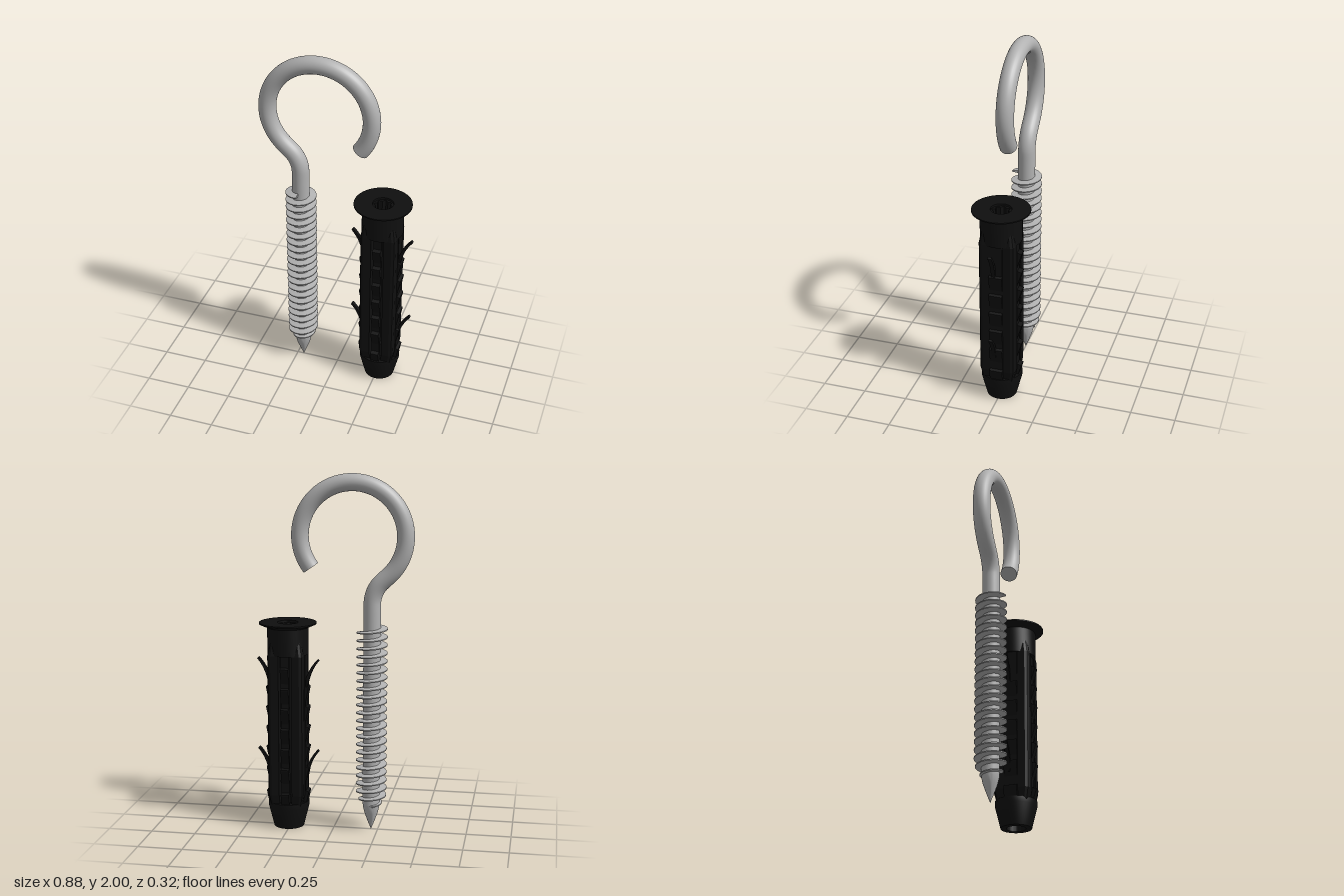
import * as THREE from 'three';
import { toCreasedNormals } from 'three/addons/utils/BufferGeometryUtils.js';

const steel = new THREE.MeshStandardMaterial({ color: 0xb2b2b2 });
steel.name = 'zinc steel';
const black = new THREE.MeshStandardMaterial({ color: 0x0f0f0f });
black.name = 'black plastic';

const V2 = (x, y) => new THREE.Vector2(x, y);
const lathe = (pts, n = 48) =>
  toCreasedNormals(new THREE.LatheGeometry(pts.map(p => V2(...p)), n), 0.5);

function add(parent, name, geo, mat) {
  const mesh = new THREE.Mesh(geo, mat);
  mesh.name = name;
  parent.add(mesh);
  return mesh;
}

const WIRE = 0.048, SHAFT_X = -0.212;

// Bent wire: ring, reverse bend, straight shank
function hookCurve() {
  const pts = [], R = 0.291, cx = -0.102, cy = 1.661;
  const a0 = -0.658, a1 = Math.PI * 1.25;
  for (let i = 0; i <= 48; i++) {
    const a = a0 + (a1 - a0) * i / 48;
    pts.push(new THREE.Vector3(cx + R * Math.cos(a), cy + R * Math.sin(a), 0));
  }
  const r = 0.17;
  for (let i = 0; i <= 8; i++) {
    const a = Math.PI / 4 * (1 - i / 8);
    pts.push(new THREE.Vector3(SHAFT_X - r + r * Math.cos(a), 1.292 + r * Math.sin(a), 0));
  }
  for (const y of [1.24, 1.1, 0.8, 0.45, 0.15]) pts.push(new THREE.Vector3(SHAFT_X, y, 0));
  return new THREE.CatmullRomCurve3(pts);
}

// Thin helical blade, swept from a trapezoid section
function threadGeometry(y0, y1, turns) {
  const seg = 36, n = Math.round(turns * seg), pos = [], idx = [];
  for (let i = 0; i <= n; i++) {
    const t = i / seg * Math.PI * 2 + Math.PI, y = y0 + (y1 - y0) * i / n;
    const grow = Math.min(1, 0.15 + i / (seg * 1.6));
    const R = WIRE + 0.038 * grow;
    for (const [r, h] of [[0.044, 0.009], [R, 0.003], [R, -0.003], [0.044, -0.009]])
      pos.push(r * Math.sin(t), y + h, r * Math.cos(t));
  }
  for (let i = 0; i < n; i++) for (let j = 0; j < 4; j++) {
    const a = i * 4 + j, d = i * 4 + (j + 1) % 4, b = a + 4, c = d + 4;
    idx.push(a, d, b, d, c, b);
  }
  const e = n * 4;
  idx.push(0, 2, 1, 0, 3, 2, e, e + 1, e + 2, e, e + 2, e + 3);
  const g = new THREE.BufferGeometry();
  g.setAttribute('position', new THREE.Float32BufferAttribute(pos, 3));
  g.setIndex(idx);
  return toCreasedNormals(g, 0.5);
}

function makeHook() {
  const hook = new THREE.Group();
  hook.name = 'screwHook';
  const curve = hookCurve();
  add(hook, 'hookWire', new THREE.TubeGeometry(curve, 200, WIRE, 28), steel);
  const cap = add(hook, 'hookEnd', new THREE.CircleGeometry(WIRE, 28), steel);
  cap.position.copy(curve.getPoint(0));
  cap.lookAt(cap.position.clone().sub(curve.getTangent(0)));
  const tip = add(hook, 'screwTip',
    lathe([[0, 0], [0.02, 0.05], [0.038, 0.1], [0.046, 0.135], [WIRE, 0.16]], 28), steel);
  tip.position.x = SHAFT_X;
  const thread = add(hook, 'screwThread', threadGeometry(0.145, 1.165, 22.5), steel);
  thread.position.x = SHAFT_X;
  return hook;
}

// Scalloped bore shared by collar and flange
function borePath() {
  const pts = [];
  for (let i = 0; i < 64; i++) {
    const a = -i / 64 * Math.PI * 2, r = 0.046 + 0.006 * Math.cos(a * 8);
    pts.push(V2(r * Math.cos(a), r * Math.sin(a)));
  }
  return new THREE.Path(pts);
}

// Extrude a ground-plan shape upward from y0 to y1
function upright(shape, y0, y1, steps = 1) {
  const g = new THREE.ExtrudeGeometry(shape,
    { depth: y1 - y0, steps, bevelEnabled: false, curveSegments: 24 });
  return g.rotateX(-Math.PI / 2).translate(0, y0, 0);
}

// Corner rib of the sleeve, drawn in toward the axis at both ends
function cornerRib() {
  const s = new THREE.Shape([[0.036, 0.044], [0.044, 0.036], [0.1, 0.036], [0.101, 0.08],
    [0.094, 0.094], [0.08, 0.101], [0.036, 0.1]].map(p => V2(...p)));
  const g = upright(s, 0.1, 1.1, 20), p = g.attributes.position;
  for (let i = 0; i < p.count; i++) {
    const y = p.getY(i);
    const f = Math.min(1, 0.8 + (y - 0.1) * 2, 0.82 + (1.1 - y) * 1.8);
    p.setX(i, p.getX(i) * f);
    p.setZ(i, p.getZ(i) * f);
  }
  g.computeVertexNormals();
  return g;
}

// Sawtooth strip: profile in radius and height, extruded to the strip width
function toothStrip(tops, inner, root, crest, width) {
  const s = new THREE.Shape();
  s.moveTo(inner, 0.12);
  s.lineTo(root, 0.12);
  for (const y of tops) {
    s.lineTo(root, y - 0.085);
    s.lineTo(crest, y - 0.006);
    s.lineTo(crest, y);
    s.lineTo(root, y + 0.006);
  }
  s.lineTo(root, 1.01);
  s.lineTo(inner, 1.01);
  return new THREE.ExtrudeGeometry(s, { depth: width, bevelEnabled: false })
    .translate(0, 0, -width / 2);
}

// Curved anti-rotation barb
function barb(y) {
  const s = new THREE.Shape();
  s.moveTo(0.095, y - 0.02);
  s.lineTo(0.112, y - 0.02);
  s.quadraticCurveTo(0.128, y + 0.08, 0.178, y + 0.135);
  s.lineTo(0.17, y + 0.144);
  s.quadraticCurveTo(0.116, y + 0.09, 0.095, y);
  return new THREE.ExtrudeGeometry(s, { depth: 0.022, bevelEnabled: false });
}

function makePlug() {
  const plug = new THREE.Group();
  plug.name = 'wallPlug';
  plug.position.x = 0.26;

  // Countersunk flange and collar
  add(plug, 'flange', lathe([[0.058, 1.15], [0.115, 1.15], [0.16, 1.17], [0.16, 1.177],
    [0.058, 1.177], [0.058, 1.15]]), black);
  const ring = new THREE.Shape().absarc(0, 0, 0.115, 0, Math.PI * 2, false);
  ring.holes.push(borePath());
  add(plug, 'collar', toCreasedNormals(upright(ring, 1.0, 1.165), 0.5), black);

  // Tapered nose with open bore
  add(plug, 'nose', lathe([[0.053, 0], [0.085, 0], [0.115, 0.12], [0.115, 0.15],
    [0.053, 0.15], [0.053, 0]]), black);

  // Four corner ribs
  const rib = cornerRib();
  for (let i = 0; i < 4; i++)
    add(plug, 'cornerRib', rib, black).rotation.y = i * Math.PI / 2;

  // Toothed strips front and back, side strips with barbs
  const frontStrip = toothStrip([0.21, 0.355, 0.47, 0.585, 0.7, 0.815, 0.93],
    0.075, 0.096, 0.12, 0.046);
  const sideStrip = toothStrip([0.21, 0.35, 0.47, 0.585, 0.7, 0.815], 0.075, 0.104, 0.12, 0.074);
  for (const turn of [0, Math.PI]) {
    add(plug, 'frontToothStrip', frontStrip, black).rotation.y = turn + Math.PI / 2;
    add(plug, 'sideToothStrip', sideStrip, black).rotation.y = turn;
    for (const y of [0.83, 0.31]) add(plug, 'barb', barb(y), black).rotation.y = turn;
  }
  return plug;
}

export function createModel() {
  const model = new THREE.Group();
  model.name = 'hookAndPlug';
  model.add(makeHook(), makePlug());
  return model;
}
